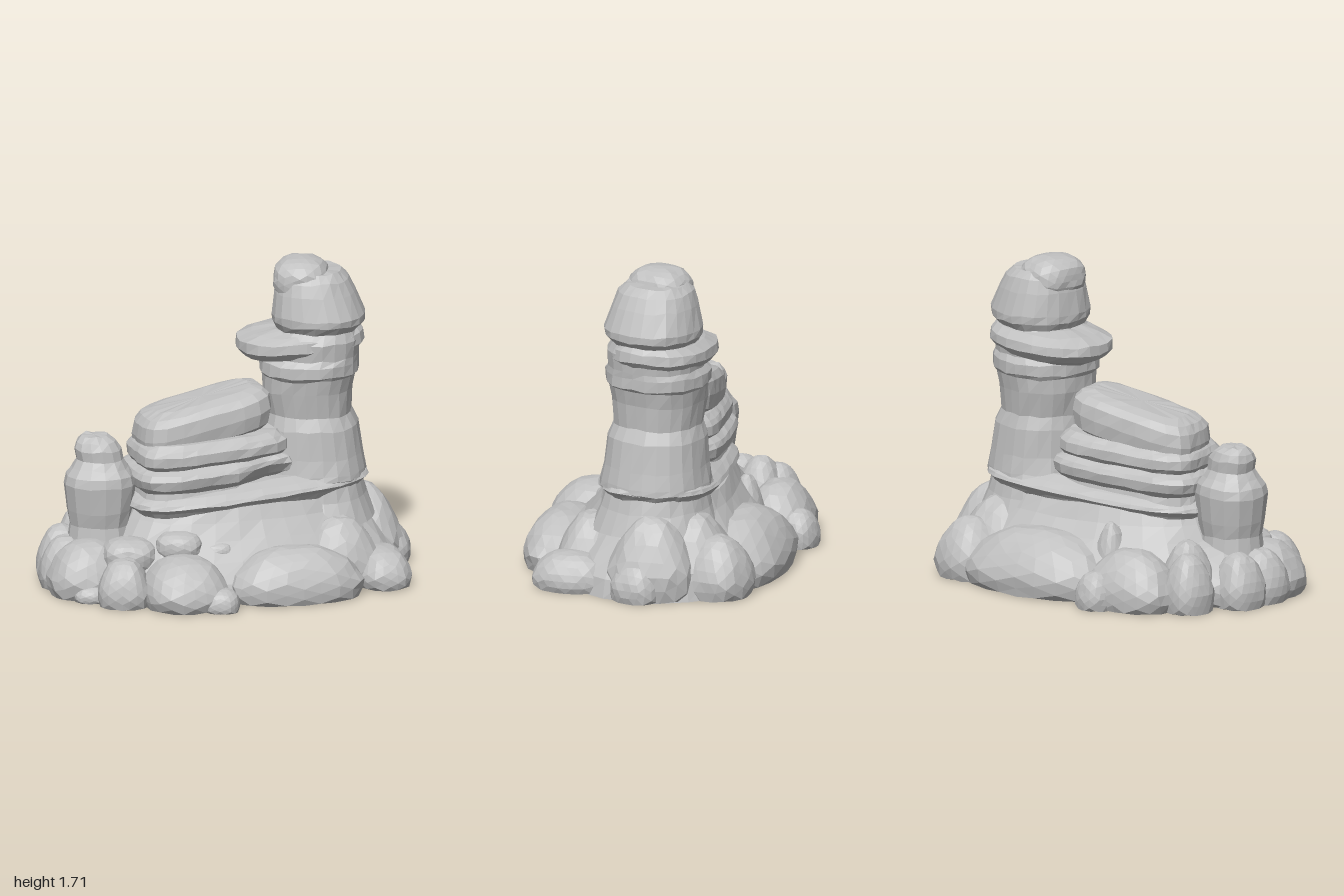
import * as THREE from 'three';
import { mergeVertices } from 'three/addons/utils/BufferGeometryUtils.js';

const UP = new THREE.Vector3(0, 1, 0);
const TURN = 0.39; // heading of the long rock mass

let seed = 7;
const rand = () => {
  seed = (seed * 16807) % 2147483647;
  return seed / 2147483647 - 0.5;
};
// Radius of a rounded square in the given direction
const rounded = (power, ...d) => d.reduce((sum, n) => sum + Math.abs(n) ** power, 0) ** (-1 / power);

// Stacked rounded rings; each profile entry is [height, outset, sideways shift]
function loft(profile, { at, size, sides = 24, power = 2.4, turn = 0, slope = 0, rough = 0.012, hollow }) {
  const pos = [], index = [], p = new THREE.Vector3();
  const n = profile.length;
  for (const [y, outset, shift = 0] of profile) {
    for (let j = 0; j < sides; j++) {
      const t = (j / sides) * Math.PI * 2, a = Math.cos(t), b = Math.sin(t);
      const r = rounded(power, a, b) * (1 + rand() * rough * 2);
      const u = a * r * (size[0] + outset);
      p.set(u, y + slope * u + rand() * rough, b * r * (size[1] + outset)).applyAxisAngle(UP, turn);
      p.x += at[0] + shift;
      p.z += at[1];
      if (hollow) p.z -= hollow.depth * Math.max(0, 1 - (p.distanceTo(hollow.at) / hollow.radius) ** 2);
      pos.push(p.x, y > 0 ? p.y : 0, p.z);
    }
  }
  for (let i = 0; i < n - 1; i++) {
    for (let j = 0; j < sides; j++) {
      const a = i * sides + j, b = i * sides + (j + 1) % sides;
      index.push(a, a + sides, b, b, a + sides, b + sides);
    }
  }
  // close the two ends
  for (const [y, , shift = 0] of [profile[0], profile[n - 1]]) pos.push(at[0] + shift, y, at[1]);
  for (let j = 0; j < sides; j++) {
    const k = (j + 1) % sides, top = (n - 1) * sides;
    index.push(n * sides, j, k, n * sides + 1, top + k, top + j);
  }
  const g = new THREE.BufferGeometry();
  g.setAttribute('position', new THREE.Float32BufferAttribute(pos, 3));
  g.setIndex(index);
  g.computeVertexNormals();
  return g;
}

// Chiselled, slightly boxy stone, narrower towards the top and cut flat at the ground
function boulder(x, y, z, rx, ry, rz, turn = 0, taper = 0) {
  let g = new THREE.IcosahedronGeometry(1, 3);
  g.deleteAttribute('normal');
  g.deleteAttribute('uv');
  g = mergeVertices(g, 1e-4);
  const p = g.attributes.position, v = new THREE.Vector3();
  for (let i = 0; i < p.count; i++) {
    v.fromBufferAttribute(p, i);
    v.multiplyScalar(rounded(2.6, v.x, v.y, v.z) * (1 + rand() * 0.05));
    const narrow = 1 - taper * Math.max(0, v.y);
    v.set(v.x * rx * narrow, v.y * ry, v.z * rz * narrow).applyAxisAngle(UP, turn);
    p.setXYZ(i, v.x + x, Math.max(0, v.y + y), v.z + z);
  }
  g.computeVertexNormals();
  return g;
}

// Stone standing on the ground; taller ones taper more
const footing = (x, z, rx, rz, h, turn) => boulder(x, h * 0.34, z, rx, h * 0.66, rz, turn, h);

export function createModel() {
  const group = new THREE.Group();
  const stone = new THREE.MeshStandardMaterial({ color: 0xc0c0c0, flatShading: true });
  stone.name = 'grey stone';
  const add = (name, geometry) => {
    const mesh = new THREE.Mesh(geometry, stone);
    mesh.name = name;
    group.add(mesh);
  };

  // Sloping foot of the outcrop
  add('mound', loft(
    [[0, 0.12], [0.1, 0.1], [0.2, 0.03], [0.3, -0.05], [0.38, -0.11], [0.46, -0.15]],
    { at: [0.08, -0.05], size: [0.75, 0.46], sides: 32, turn: TURN }));

  // Long overhanging ledge running round the tower foot
  add('ledge', loft(
    [[0.42, 0], [0.465, 0.03], [0.49, 0.055], [0.51, 0.045], [0.535, 0.01], [0.56, -0.05]],
    { at: [0.1, -0.05], size: [0.61, 0.28], sides: 40, power: 3.2, turn: TURN, slope: 0.06, rough: 0.008 }));

  // Layered block with a hollow beside the tower
  add('strata', loft(
    [[0.5, 0], [0.55, -0.01], [0.58, 0.02], [0.63, 0.03], [0.655, 0.015],
      [0.675, -0.02], [0.7, 0], [0.75, 0], [0.775, -0.02], [0.8, -0.05]],
    {
      at: [-0.09, 0.02], size: [0.41, 0.27], sides: 36, power: 4, turn: TURN, slope: 0.05, rough: 0.008,
      hollow: { at: new THREE.Vector3(0.24, 0.57, 0.16), radius: 0.15, depth: 0.1 },
    }));

  // Tilted slab lying against the tower
  add('topSlab', loft(
    [[0.75, -0.04], [0.785, 0], [0.86, 0.01], [0.93, 0], [0.965, -0.03], [0.985, -0.09]],
    { at: [-0.12, 0.01], size: [0.35, 0.205], sides: 28, power: 4, turn: TURN, slope: 0.2, rough: 0.007 }));

  // Main tower with pinched bands
  add('tower', loft(
    [[0.3, 0.08], [0.42, 0.03], [0.5, 0.01], [0.53, 0.035], [0.56, 0.03], [0.65, 0.015], [0.8, 0, -0.01],
      [0.87, -0.025, -0.02], [1, -0.01, -0.03], [1.08, 0, -0.02], [1.1, 0.015, -0.02],
      [1.16, 0.015, -0.02], [1.19, -0.005], [1.28, 0], [1.33, -0.035, 0.02], [1.37, -0.005, 0.03],
      [1.41, -0.003, 0.03], [1.53, -0.035, 0.01], [1.6, -0.06], [1.64, -0.1]],
    { at: [0.46, -0.195], size: [0.25, 0.255] }));

  // Projecting brim below the head
  add('brim', loft(
    [[1.16, -0.13, -0.03], [1.2, -0.03], [1.24, 0.005], [1.29, 0], [1.32, -0.05, 0.03], [1.34, -0.12, 0.05]],
    { at: [0.39, -0.2], size: [0.335, 0.265], turn: 0.2, slope: 0.05 }));
  add('crownStone', boulder(0.4, 1.59, -0.18, 0.15, 0.12, 0.17));

  // Small freestanding pillar
  add('smallPillar', loft(
    [[0.1, 0.01], [0.34, -0.02], [0.42, -0.005], [0.56, 0.01], [0.61, 0], [0.65, -0.03], [0.69, -0.055],
      [0.75, -0.055, -0.01], [0.79, -0.075, -0.02], [0.82, -0.11, -0.03]],
    { at: [-0.65, 0.2], size: [0.18, 0.17], sides: 14, rough: 0.012 }));

  // Large foot stones: x, z, half-length, half-width, height
  [
    [0.4, 0.41, 0.36, 0.2, 0.28],
    [-0.18, 0.57, 0.23, 0.24, 0.26],
    [-0.7, 0.38, 0.22, 0.2, 0.29],
    [-0.52, -0.36, 0.26, 0.19, 0.31],
    [0.08, -0.5, 0.45, 0.26, 0.33],
    [0.5, -0.44, 0.24, 0.24, 0.42],
    [0.72, -0.33, 0.2, 0.24, 0.43],
    [0.84, 0.1, 0.15, 0.21, 0.2],
    [0.62, 0.11, 0.22, 0.18, 0.36],
    [-0.56, 0.13, 0.34, 0.33, 0.32],
  ].forEach(([x, z, rx, rz, h], i) => add('footStone' + (i + 1), footing(x, z, rx, rz, h, 0.3)));

  // Round stones at the rim: x, z, radius, height
  [
    [0.02, 0.68, 0.1, 0.12],
    [-0.5, 0.6, 0.14, 0.25],
    [-0.68, 0.53, 0.09, 0.09],
    [-0.82, 0.26, 0.15, 0.28],
    [-0.86, 0.09, 0.135, 0.29],
    [-0.78, -0.19, 0.13, 0.31],
    [-0.7, -0.13, 0.14, 0.36],
    [-0.43, -0.53, 0.11, 0.2],
    [-0.27, -0.31, 0.1, 0.4],
    [0.53, -0.62, 0.19, 0.32],
    [0.83, -0.31, 0.145, 0.22],
  ].forEach(([x, z, r, h], i) => add('rimStone' + (i + 1), footing(x, z, r, r, h, 0)));

  // Flat stones resting on the slope: x, y, z, radius
  [
    [-0.22, 0.27, 0.4, 0.125],
    [-0.48, 0.22, 0.42, 0.145],
    [-0.01, 0.24, 0.38, 0.08],
  ].forEach(([x, y, z, r], i) => add('perchedStone' + (i + 1), boulder(x, y, z, r, r * 0.65, r * 0.9)));

  return group;
}
